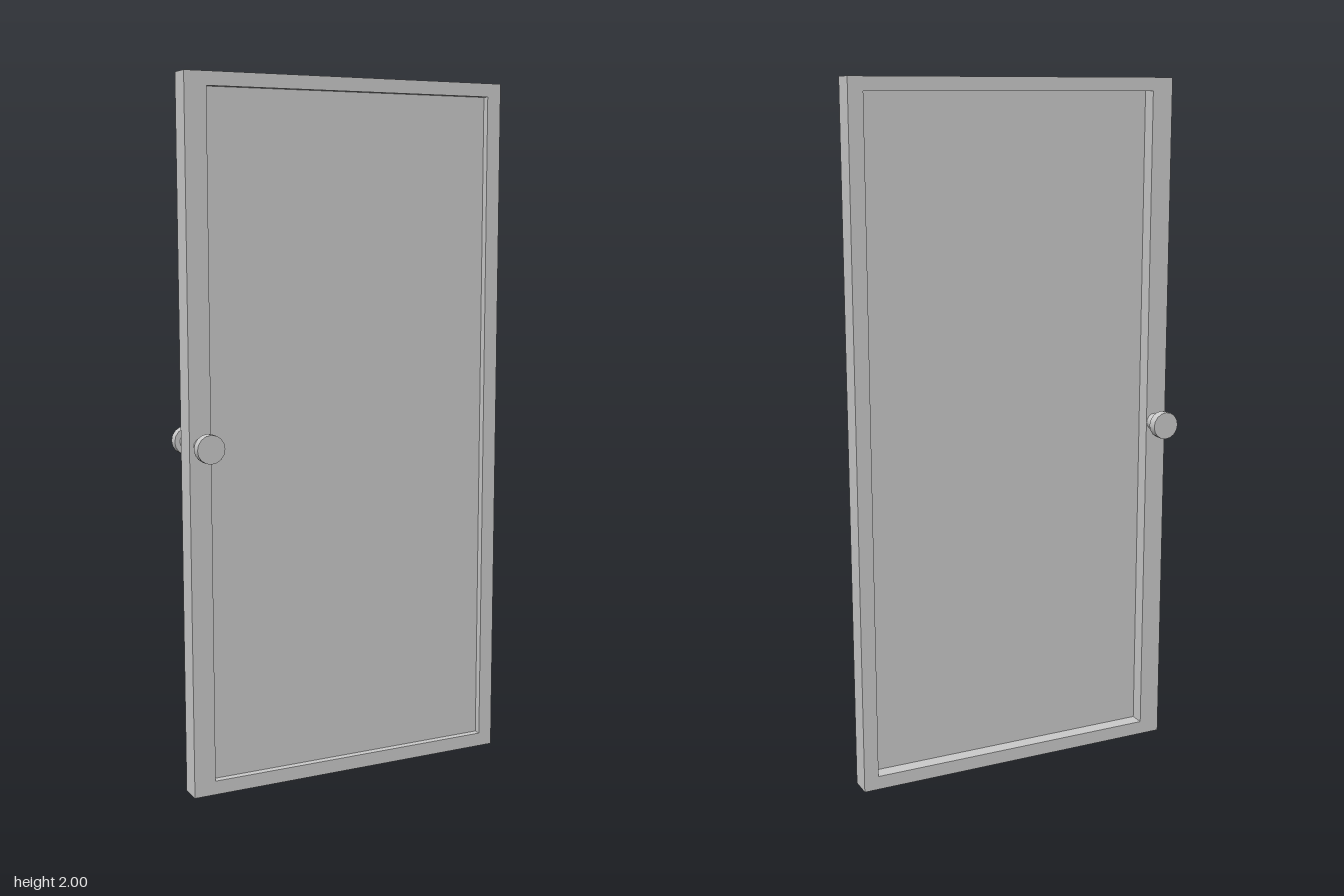
import * as THREE from 'three';

const material = new THREE.MeshStandardMaterial({ color: 0xcccccc });

function addMesh(parent, name, geometry, x = 0, y = 0, z = 0) {
  const mesh = new THREE.Mesh(geometry, material);
  mesh.name = name;
  mesh.position.set(x, y, z);
  parent.add(mesh);
  return mesh;
}

function rectangle(target, x0, y0, x1, y1) {
  target.moveTo(x0, y0);
  target.lineTo(x1, y0);
  target.lineTo(x1, y1);
  target.lineTo(x0, y1);
  target.closePath();
  return target;
}

export function createModel() {
  const door = new THREE.Group();
  door.name = 'door';

  const halfWidth = 0.489, height = 2, depth = 0.066;
  const left = -0.426, right = 0.446, bottom = 0.04, top = 1.962;

  // Rectangular frame with one large opening
  const outline = rectangle(new THREE.Shape(), -halfWidth, 0, halfWidth, height);
  outline.holes.push(rectangle(new THREE.Path(), left, bottom, right, top));
  const frame = new THREE.ExtrudeGeometry(outline, { depth, bevelEnabled: false });
  addMesh(door, 'frame', frame, 0, 0, -depth / 2);

  // Thin panel, set nearer the front of the frame
  addMesh(door, 'panel', new THREE.BoxGeometry(right - left, top - bottom, 0.002),
    (left + right) / 2, (bottom + top) / 2, 0.011);

  // A knob on a short stem on each face
  for (const side of [1, -1]) {
    const handle = new THREE.Group();
    handle.name = side > 0 ? 'frontHandle' : 'backHandle';
    handle.position.set(-0.452, 1, 0);
    const stem = new THREE.CylinderGeometry(0.025, 0.025, 0.045, 16).rotateX(Math.PI / 2);
    const knob = new THREE.CylinderGeometry(0.04, 0.04, 0.027, 16).rotateX(Math.PI / 2);
    addMesh(handle, 'stem', stem, 0, 0, side * 0.0545);
    addMesh(handle, 'knob', knob, 0, 0, side * 0.0875);
    door.add(handle);
  }

  return door;
}
